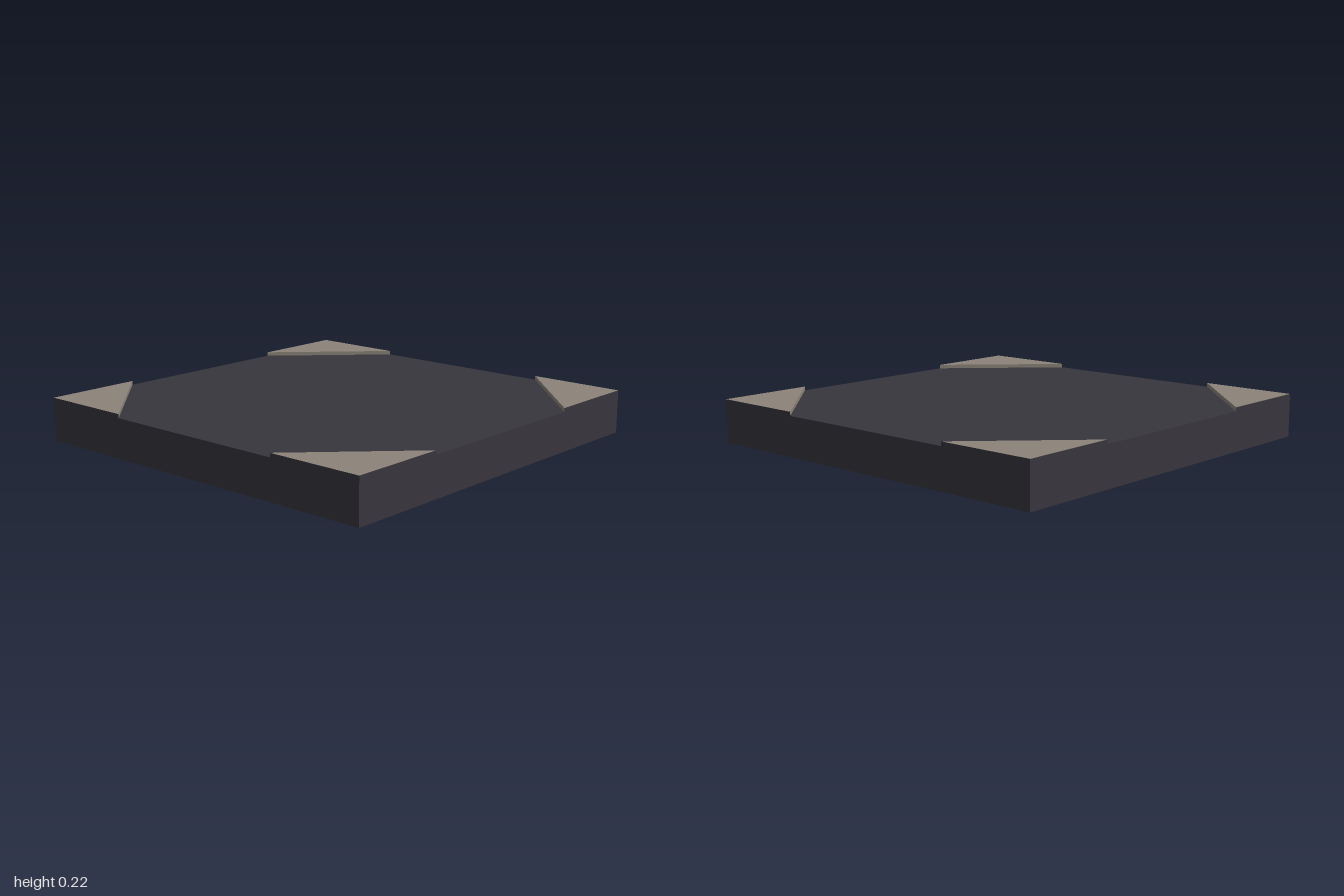
import * as THREE from 'three';

const SLAB_TOP = 0.2;
const CORNER_TOP = 0.22;

// Flat-shaded surface from convex polygons, corners counter-clockwise from outside
function surface(...polygons) {
  const positions = [];
  for (const p of polygons) {
    for (let i = 1; i < p.length - 1; i++) positions.push(...p[0], ...p[i], ...p[i + 1]);
  }
  const geometry = new THREE.BufferGeometry();
  geometry.setAttribute('position', new THREE.Float32BufferAttribute(positions, 3));
  geometry.computeVertexNormals();
  return geometry;
}

// Upright wall between two plan points [x, z]
function wall([ax, az], [bx, bz]) {
  return [
    [ax, SLAB_TOP, az], [bx, SLAB_TOP, bz],
    [bx, CORNER_TOP, bz], [ax, CORNER_TOP, az],
  ];
}

export function createModel() {
  const dark = new THREE.MeshStandardMaterial({ color: 0x38363d });
  dark.name = 'dark slate';
  const tan = new THREE.MeshStandardMaterial({ color: 0x8c847a });
  tan.name = 'warm stone';

  const model = new THREE.Group();
  model.name = 'floorTile';
  const add = (parent, name, geometry, material) => {
    const mesh = new THREE.Mesh(geometry, material);
    mesh.name = name;
    parent.add(mesh);
    return mesh;
  };

  // Square base slab
  add(model, 'slab', new THREE.BoxGeometry(2, SLAB_TOP, 2), dark).position.y = SLAB_TOP / 2;

  // Raised triangular corners: stone top and inner step, dark outer rim
  const a = [0.5, 1], b = [1, 1], c = [1, 0.5];
  const top = [a, b, c].map(([x, z]) => [x, CORNER_TOP, z]);
  const stone = surface(top, wall(c, a));
  const rim = surface(wall(a, b), wall(b, c));
  for (let i = 0; i < 4; i++) {
    const corner = new THREE.Group();
    corner.name = `raisedCorner${i + 1}`;
    corner.rotation.y = i * Math.PI / 2;
    add(corner, 'cornerTop', stone, tan);
    add(corner, 'cornerRim', rim, dark);
    model.add(corner);
  }
  return model;
}
